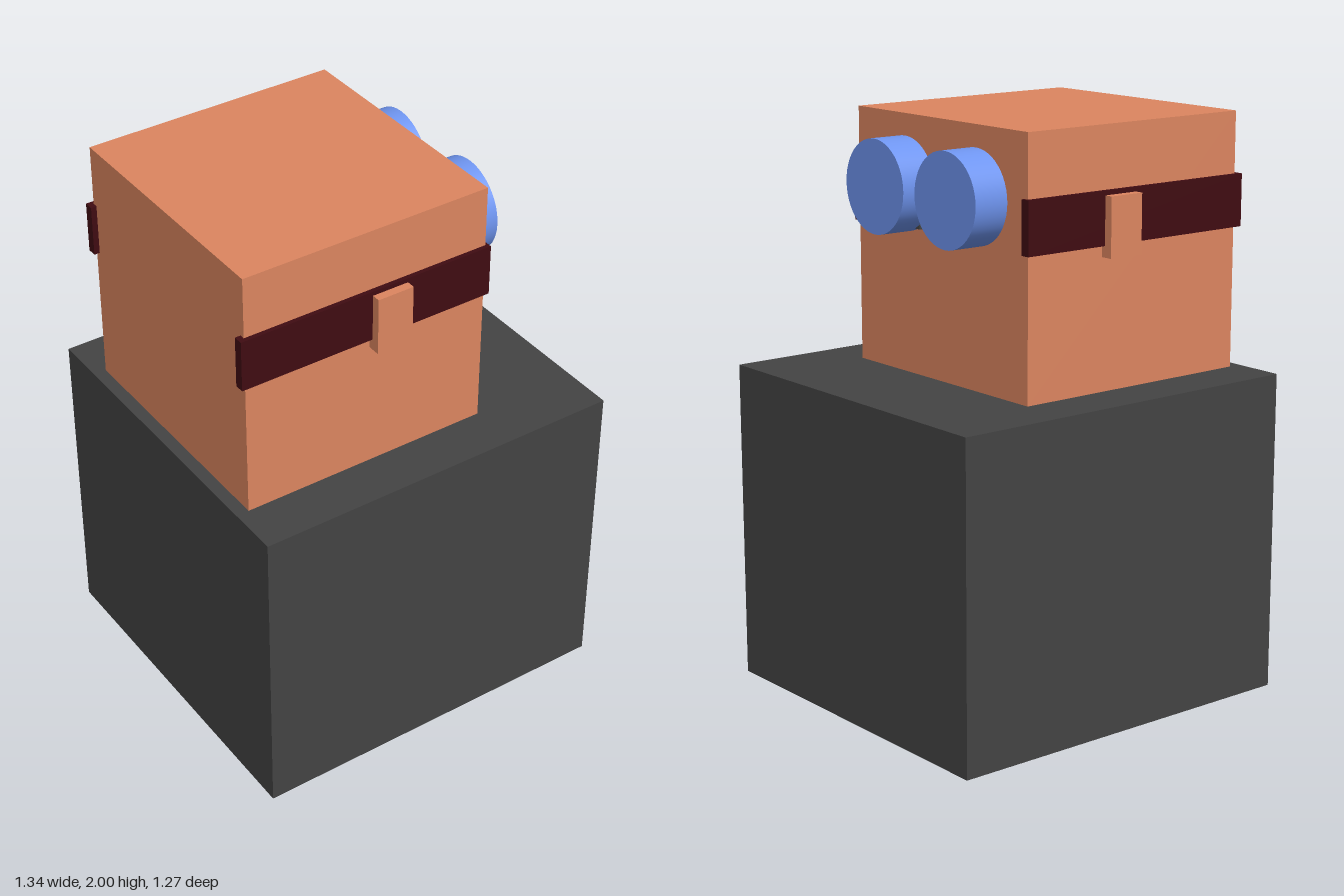
import * as THREE from 'three';

const material = (color) => new THREE.MeshStandardMaterial({ color });

export function createModel() {
  const model = new THREE.Group();
  const orange = material(0xdd8660);
  const charcoal = material(0x444444);
  const maroon = material(0x400c12);
  const blue = material(0x6f95f0);

  // Box given by its lower and upper corners
  const box = (name, mat, [x0, y0, z0], [x1, y1, z1]) => {
    const mesh = new THREE.Mesh(new THREE.BoxGeometry(x1 - x0, y1 - y0, z1 - z0), mat);
    mesh.position.set((x0 + x1) / 2, (y0 + y1) / 2, (z0 + z1) / 2);
    mesh.name = name;
    model.add(mesh);
    return mesh;
  };

  box('body', charcoal, [-0.67, 0, -0.633], [0.67, 1.12, 0.633]);
  box('head', orange, [-0.625, 1.12, -0.453], [0.277, 2, 0.453]);

  for (const side of [1, -1]) {
    const label = side > 0 ? 'left' : 'right';

    // Goggle strap along the side of the head, with an ear over it
    const strap = box(label + 'Strap', maroon, [-0.645, 1.608, 0.435], [0.288, 1.788, 0.468]);
    const ear = box(label + 'Ear', orange, [-0.165, 1.57, 0.44], [-0.033, 1.773, 0.498]);
    strap.position.z *= side;
    ear.position.z *= side;

    // Round goggle lens facing +x
    const lens = new THREE.Mesh(new THREE.CylinderGeometry(0.16, 0.16, 0.14, 48), blue);
    lens.rotation.z = -Math.PI / 2;
    lens.position.set(0.335, 1.765, 0.19 * side);
    lens.name = label + 'Lens';
    model.add(lens);
  }

  // Small plate tucked behind the left lens
  box('eyePlate', charcoal, [0.27, 1.623, 0.09], [0.295, 1.75, 0.28]);

  return model;
}
